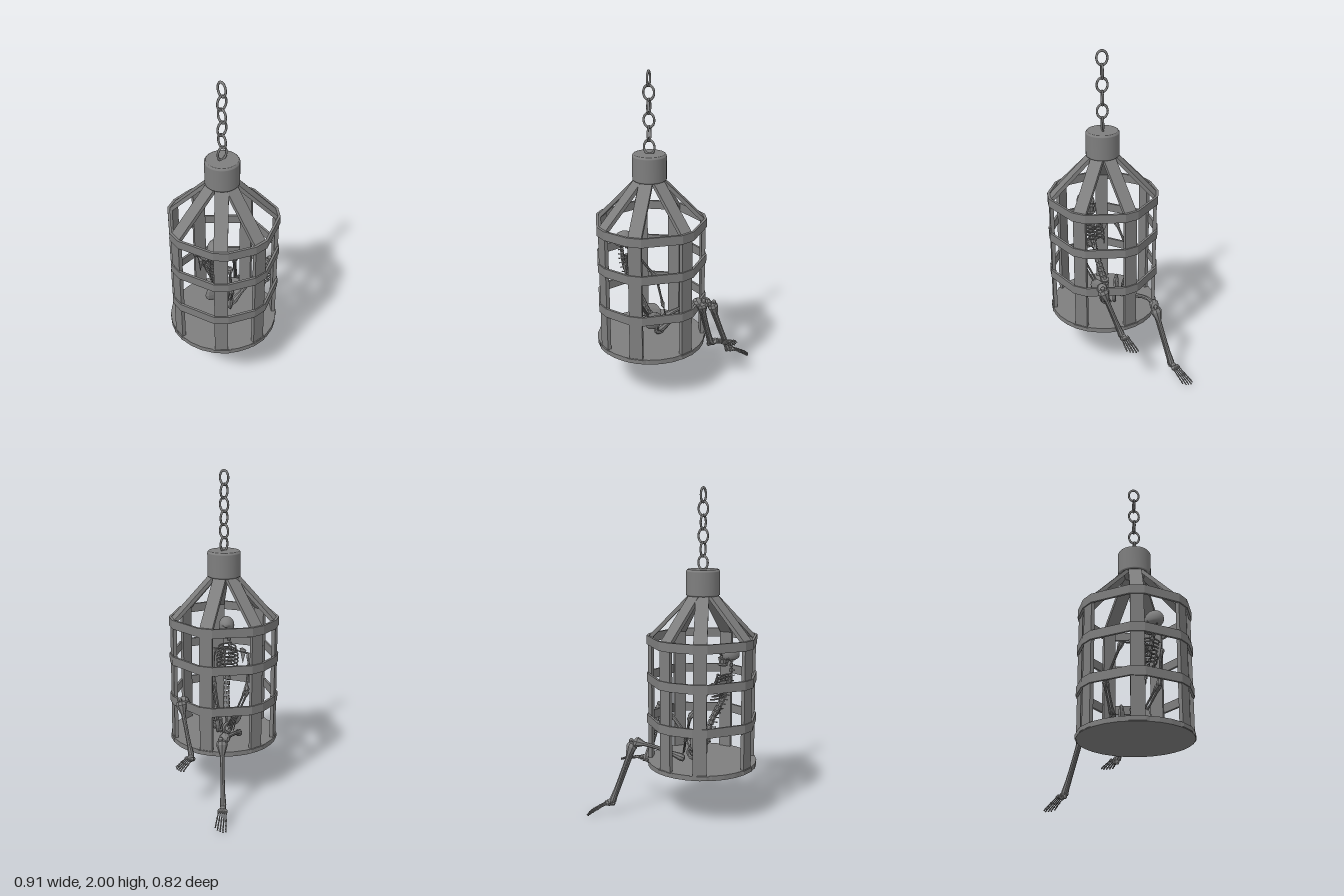
import * as THREE from 'three';

const smooth = new THREE.MeshStandardMaterial({ color: 0x7e7e7e, side: THREE.DoubleSide });
const flat = new THREE.MeshStandardMaterial({ color: 0x7e7e7e, flatShading: true, side: THREE.DoubleSide });
const V = (x, y, z) => new THREE.Vector3(x, y, z);
const UP = V(0, 1, 0);

function add(parent, name, geo, mat = flat) {
  const m = new THREE.Mesh(geo, mat);
  m.name = name;
  parent.add(m);
  return m;
}

// Bone from a to b: thin shaft, flared ends (r0 at a, r1 at b), bowed by bend at the middle
function bone(parent, name, a, b, r0, r1 = r0, shaft = Math.min(r0, r1) * 0.55, bend = V(0, 0, 0)) {
  const len = a.distanceTo(b), e = Math.min(0.22 * len, 3 * Math.max(r0, r1));
  const pts = [[0, -r0 * 0.3], [r0 * 0.8, 0], [r0, e * 0.25], [shaft, e], [shaft * 0.9, len * 0.4],
    [shaft * 0.9, len * 0.6], [shaft, len - e], [r1, len - e * 0.25], [r1 * 0.8, len], [0, len + r1 * 0.3]];
  const geo = new THREE.LatheGeometry(pts.map(p => new THREE.Vector2(...p)), 8);
  const m = add(parent, name, geo);
  m.position.copy(a);
  m.quaternion.setFromUnitVectors(UP, b.clone().sub(a).normalize());
  const local = bend.clone().applyQuaternion(m.quaternion.clone().invert());
  const p = geo.attributes.position;
  for (let i = 0; i < p.count; i++) {
    const k = Math.sin(Math.PI * THREE.MathUtils.clamp(p.getY(i) / len, 0, 1));
    p.setXYZ(i, p.getX(i) + local.x * k, p.getY(i) + local.y * k, p.getZ(i) + local.z * k);
  }
  return m;
}

function ball(parent, name, p, r, sx = 1, sy = 1, sz = 1) {
  const m = add(parent, name, new THREE.SphereGeometry(r, 8, 6));
  m.position.copy(p);
  m.scale.set(sx, sy, sz);
  return m;
}

// Fan of digits with a block of small bones at the root; forward and side span its plane
function extremity(parent, name, root, forward, side, len, width) {
  const g = new THREE.Group();
  g.name = name;
  parent.add(g);
  const at = (f, s, h = 0) => root.clone().addScaledVector(forward, f * len)
    .addScaledVector(side, s * width).addScaledVector(UP, h);
  for (let i = 0; i < 5; i++) {
    const s = (i - 2) / 4, reach = 1 - 0.05 * Math.abs(i - 1) - (i === 4 ? 0.06 : 0);
    const joints = [0.14, 0.55 * reach, 0.76 * reach, 0.9 * reach, reach].map((f, k) =>
      at(f, s * (0.6 + 0.4 * f), [0.012, 0.006, 0.002, 0, -0.004][k]));
    for (let k = 0; k < 4; k++)
      bone(g, 'digitBone', joints[k], joints[k + 1], width * (k ? 0.08 : 0.12), width * 0.08, width * 0.055);
    ball(g, 'rootBone', at(0.08, s * 0.55, 0.01), width * 0.17);
  }
  ball(g, 'rootBone', at(-0.04, 0, 0.01), width * 0.26);
  return g;
}

function buildCage() {
  const cage = new THREE.Group();
  cage.name = 'cage';
  cage.position.set(-0.114, 0, 0.06);
  const angles = [0, 56, 111, 167, 206, 263, 317].map(THREE.MathUtils.degToRad);

  // Floor and top cap
  add(cage, 'floor', new THREE.CylinderGeometry(0.338, 0.338, 0.03, 28)).position.y = 0.317;
  const cap = [[0, 1.355], [0.094, 1.355], [0.096, 1.355], [0.102, 1.361], [0.102, 1.364], [0.102, 1.5],
    [0.102, 1.503], [0.095, 1.513], [0.092, 1.514], [0, 1.515]];
  add(cage, 'cap', new THREE.LatheGeometry(cap.map(p => new THREE.Vector2(...p)), 32), smooth);

  // Bars, upright then bent inwards to the cap
  const prof = new THREE.Shape([[0.31, 0.31], [0.333, 0.31], [0.333, 1.1], [0.06, 1.385], [0.06, 1.352],
    [0.31, 1.09]].map(p => new THREE.Vector2(...p)));
  const barGeo = new THREE.ExtrudeGeometry(prof, { depth: 0.08, bevelEnabled: false });
  barGeo.translate(0, 0, -0.04);
  for (const a of angles) add(cage, 'bar', barGeo).rotation.y = a - Math.PI / 2;

  // Bands, straight between the bar edges
  const outline = k => angles.flatMap(a => [-0.043, 0.043].map(w => {
    const r = 0.34;
    return new THREE.Vector2(k * (r * Math.sin(a) + w * Math.cos(a)), -k * (r * Math.cos(a) - w * Math.sin(a)));
  }));
  const ring = new THREE.Shape(outline(1));
  ring.holes.push(new THREE.Path(outline(0.955)));
  const bandGeo = h => new THREE.ExtrudeGeometry(ring, { depth: h, bevelEnabled: false }).rotateX(-Math.PI / 2);
  for (const y of [0.56, 0.822, 1.056]) add(cage, 'band', bandGeo(0.055)).position.y = y;
  add(cage, 'lowerRim', bandGeo(0.025)).position.y = 0.305;

  // Chain, links turned by a quarter each
  for (let i = 0; i < 6; i++) {
    const link = add(cage, 'chainLink', new THREE.TorusGeometry(0.032, 0.0065, 8, 24), smooth);
    link.scale.y = 1.3;
    link.position.y = 1.552 + i * 0.0796;
    link.rotation.y = (i % 2) * Math.PI / 2;
  }
  return cage;
}

function buildSkull() {
  const skull = new THREE.Group();
  skull.name = 'skull';
  // Cranium with eye sockets pressed in
  const geo = new THREE.SphereGeometry(1, 22, 18);
  const p = geo.attributes.position, v = V(0, 0, 0);
  const sockets = [V(0.38, -0.2, 0.9).normalize(), V(-0.38, -0.2, 0.9).normalize()];
  for (let i = 0; i < p.count; i++) {
    v.fromBufferAttribute(p, i);
    if (sockets.some(s => s.dot(v) > 0.96)) v.multiplyScalar(0.72);
    if (v.y < -0.4) v.y = -0.4 + (v.y + 0.4) * 0.5;
    p.setXYZ(i, v.x * 0.05, v.y * 0.056, v.z * 0.064);
  }
  geo.computeVertexNormals();
  add(skull, 'cranium', geo, smooth);
  // Face and jaw
  const upper = add(skull, 'upperJaw', new THREE.CylinderGeometry(0.029, 0.022, 0.036, 8));
  upper.position.set(0, -0.038, 0.04);
  const jaw = add(skull, 'lowerJaw', new THREE.TorusGeometry(0.024, 0.009, 6, 12, Math.PI));
  jaw.rotation.x = Math.PI / 2;
  jaw.scale.y = 1.4;
  jaw.position.set(0, -0.064, 0.026);
  for (const s of [-1, 1]) {
    bone(skull, 'cheekbone', V(s * 0.022, -0.027, 0.054), V(s * 0.045, -0.022, 0.01), 0.008, 0.006);
    bone(skull, 'jawBranch', V(s * 0.026, -0.066, 0.024), V(s * 0.036, -0.02, 0.002), 0.009, 0.008);
  }
  skull.position.set(-0.25, 0.995, 0.152);
  skull.rotation.y = Math.atan2(0.8, -0.6);
  return skull;
}

function buildSkeleton() {
  const sk = new THREE.Group();
  sk.name = 'skeleton';
  sk.add(buildSkull());
  const fwd = V(0.96, 0, -0.27).normalize(), side = V(0.27, 0, 0.96).normalize();

  // Spine
  const spine = new THREE.CatmullRomCurve3([V(-0.265, 0.96, 0.158), V(-0.265, 0.85, 0.135), V(-0.238, 0.74, 0.115),
    V(-0.178, 0.61, 0.09), V(-0.13, 0.45, 0.05)]);
  for (let i = 0; i < 18; i++) {
    const t = i / 17, r = 0.01 + 0.013 * t;
    const vert = add(sk, 'vertebra', new THREE.CylinderGeometry(r, r * 1.1, 0.023, 8));
    vert.position.copy(spine.getPointAt(t));
    vert.quaternion.setFromUnitVectors(UP, spine.getTangentAt(t).negate());
    bone(sk, 'spinousProcess', vert.position, vert.position.clone().addScaledVector(fwd, -r * 2), 0.005);
  }

  // Rib pairs running to the breastbone
  for (let i = 0; i < 7; i++) {
    const c = spine.getPointAt(0.17 + i * 0.04), w = 0.05 + 0.024 * Math.sin((i + 1) / 7 * 2.6);
    const d = 0.075 + i * 0.004, sweep = i < 5 ? 1 : 0.7;
    for (const s of [-1, 1]) {
      const pts = [0, 0.25, 0.5, 0.75, 1].map(k => {
        const a = k * sweep * Math.PI;
        return c.clone().addScaledVector(side, s * w * Math.sin(a))
          .addScaledVector(fwd, d * (1 - Math.cos(a)) / 2).addScaledVector(UP, -0.025 * k);
      });
      add(sk, 'rib', new THREE.TubeGeometry(new THREE.CatmullRomCurve3(pts), 14, 0.005, 6), smooth);
    }
  }
  const chest = t => spine.getPointAt(t).addScaledVector(fwd, 0.08);
  bone(sk, 'breastbone', chest(0.17).add(V(0, -0.02, 0)), chest(0.35).add(V(0, -0.03, 0)), 0.011, 0.009);

  // Arms with collarbones and shoulder blades
  const arms = [
    { n: 'right', s: V(-0.185, 0.84, 0.205), e: V(-0.16, 0.62, 0.19), w: V(-0.09, 0.41, 0.08) },
    { n: 'left', s: V(-0.248, 0.84, -0.04), e: V(-0.125, 0.64, -0.115), w: V(-0.07, 0.47, -0.07) }];
  for (const { n, s, e, w } of arms) {
    bone(sk, n + 'Collarbone', chest(0.18), s, 0.008);
    bone(sk, n + 'UpperArm', s, e, 0.02, 0.019, 0.009);
    const off = side.clone().multiplyScalar(0.01);
    bone(sk, n + 'Radius', e.clone().add(off), w.clone().add(off), 0.012, 0.012, 0.007);
    bone(sk, n + 'Ulna', e.clone().sub(off), w.clone().sub(off), 0.014, 0.01, 0.007);
    extremity(sk, n + 'Hand', w, w.clone().sub(e).normalize(), side, 0.09, 0.05);
    const blade = add(sk, n + 'ShoulderBlade', new THREE.ConeGeometry(0.038, 0.1, 3));
    blade.position.copy(s).lerp(spine.getPointAt(0.26), 0.4).addScaledVector(fwd, -0.02);
    blade.position.y -= 0.03;
    blade.scale.set(0.35, 1, 1);
    blade.rotation.set(Math.PI, 0.27, 0);
  }

  // Pelvis: sacrum, two hip blades, two lower arches
  const hipMid = V(-0.1, 0.41, 0.04), hipTurn = Math.atan2(-fwd.z, fwd.x);
  bone(sk, 'sacrum', V(-0.135, 0.48, 0.05), V(-0.14, 0.36, 0.04), 0.03, 0.012, 0.023);
  for (const s of [-1, 1]) {
    const blade = ball(sk, 'hipBlade', hipMid.clone().addScaledVector(side, s * 0.065).add(V(-0.005, 0.035, 0)),
      0.06, 1, 1, 0.3);
    blade.rotation.y = hipTurn + s * 0.5;
    const arch = add(sk, 'lowerPelvis', new THREE.TorusGeometry(0.03, 0.012, 6, 12));
    arch.position.copy(hipMid).addScaledVector(side, s * 0.035).addScaledVector(fwd, 0.035);
    arch.position.y = 0.378;
    arch.rotation.y = hipTurn + s * 0.5;
  }

  // Legs and feet hanging out through the bars
  const legs = [
    { n: 'right', h: V(-0.05, 0.375, 0.07), k: V(0.212, 0.625, 0.12), a: V(0.262, 0.285, 0.0),
      toe: V(0.425, 0.28, -0.038), across: V(0.2, 0, 1), bend: V(0, 0.01, 0.01) },
    { n: 'left', h: V(-0.075, 0.37, -0.1), k: V(0.212, 0.46, -0.21), a: V(0.325, 0.078, -0.305),
      toe: V(0.452, 0.01, -0.388), across: V(0.55, 0, 0.8), bend: V(0, 0.022, -0.022) }];
  for (const { n, h, k, a, toe, across, bend } of legs) {
    bone(sk, n + 'Thigh', h, k, 0.024, 0.034, 0.014, bend);
    ball(sk, n + 'Kneecap', k.clone().add(V(0.024, 0.005, 0)), 0.015);
    bone(sk, n + 'Shin', k.clone().add(V(0.012, -0.01, 0)), a, 0.035, 0.019, 0.014);
    const o = V(-0.01, 0, 0.016);
    bone(sk, n + 'Fibula', k.clone().lerp(a, 0.08).add(o), a.clone().add(o), 0.011, 0.011, 0.007);
    const f = toe.clone().sub(a), len = f.length();
    f.normalize();
    bone(sk, n + 'Heel', a.clone().addScaledVector(f, 0.02), a.clone().addScaledVector(f, -0.022).add(V(0, -0.014, 0)),
      0.017, 0.015, 0.014);
    extremity(sk, n + 'Foot', a.clone().addScaledVector(f, 0.015), f, across.normalize(), len - 0.015, 0.068);
  }
  return sk;
}

export function createModel() {
  const model = new THREE.Group();
  model.name = 'hangingCage';
  model.add(buildCage(), buildSkeleton());
  return model;
}
